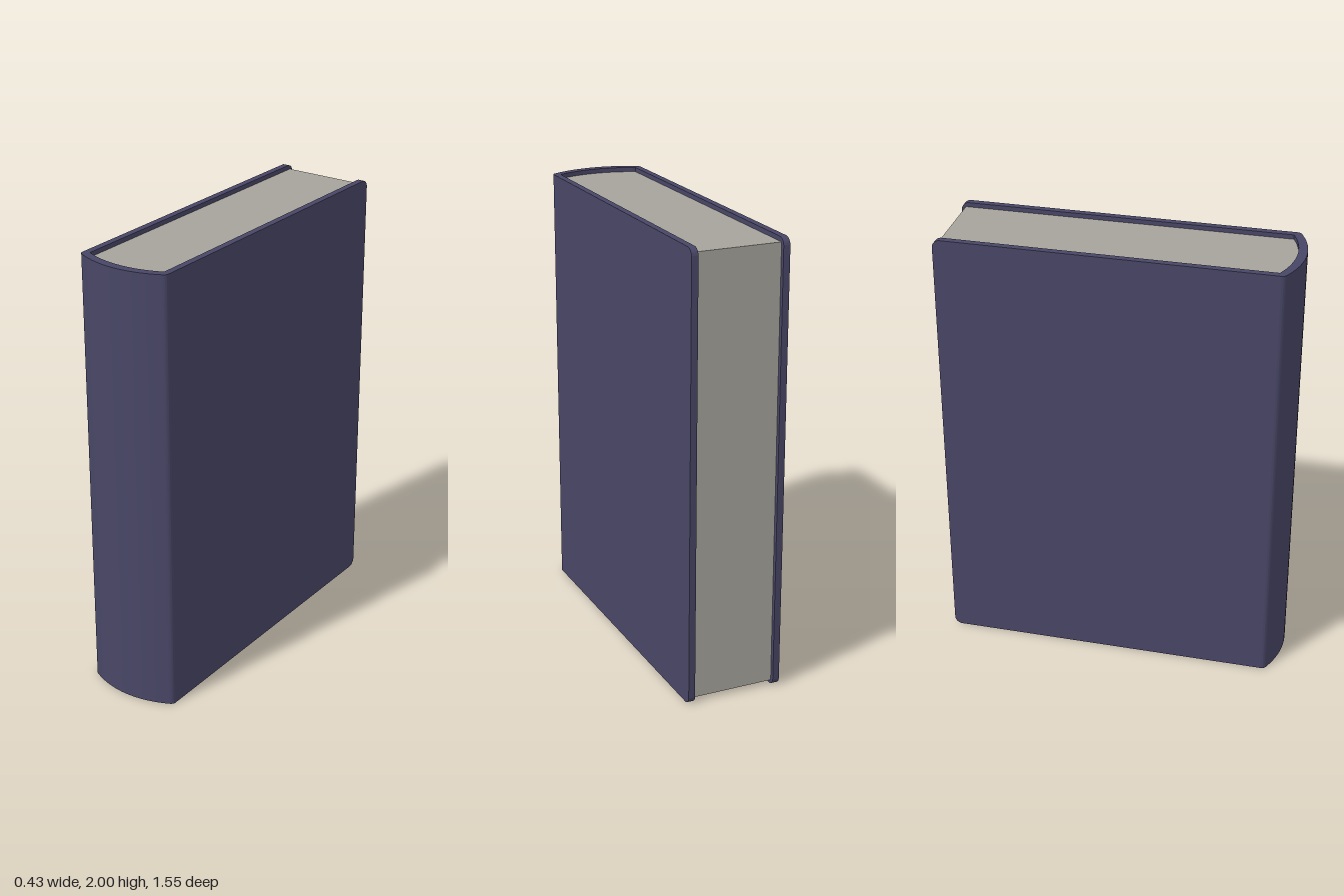
import * as THREE from 'three';
import { toCreasedNormals } from 'three/addons/utils/BufferGeometryUtils.js';

const HEIGHT = 2, OUT = 0.217, IN = 0.187, BACK = -0.776, JOIN = 0.69;

// Extrude an (x, z) outline upward from y = bottom to y = top
function extrudeUp(shape, bottom, top) {
  const g = new THREE.ExtrudeGeometry(shape, { depth: top - bottom, bevelEnabled: false, curveSegments: 16 });
  g.rotateX(Math.PI / 2).translate(0, top, 0);
  return toCreasedNormals(g, 0.6);
}

export function createModel() {
  const group = new THREE.Group();
  const cover = new THREE.MeshStandardMaterial({ color: 0x484666 });
  cover.name = 'indigoCover';
  const paper = new THREE.MeshStandardMaterial({ color: 0xa6a39b });
  paper.name = 'greyPaper';

  const add = (name, geometry, material) => {
    const mesh = new THREE.Mesh(geometry, material);
    mesh.name = name;
    group.add(mesh);
    return mesh;
  };

  // Cover boards, with rounded corners at the fore edge
  const r = 0.035, edge = -BACK;
  const board = new THREE.Shape();
  board.moveTo(-JOIN, 0);
  board.lineTo(edge - r, 0);
  board.absarc(edge - r, r, r, -Math.PI / 2, 0, false);
  board.absarc(edge - r, HEIGHT - r, r, 0, Math.PI / 2, false);
  board.lineTo(-JOIN, HEIGHT);
  const boardGeo = toCreasedNormals(
    new THREE.ExtrudeGeometry(board, { depth: OUT - IN, bevelEnabled: false, curveSegments: 8 }).rotateY(Math.PI / 2), 0.6);
  add('leftBoard', boardGeo, cover).position.x = IN;
  add('rightBoard', boardGeo, cover).position.x = -OUT;

  // Bowed spine joining the boards
  const spine = new THREE.Shape();
  spine.moveTo(-IN, JOIN);
  spine.bezierCurveTo(-0.07, 0.747, 0.07, 0.747, IN, JOIN);
  spine.lineTo(OUT, JOIN);
  spine.lineTo(OUT, 0.7);
  spine.quadraticCurveTo(OUT, 0.716, 0.198, 0.724);
  spine.bezierCurveTo(0.07, 0.788, -0.07, 0.788, -0.198, 0.724);
  spine.quadraticCurveTo(-OUT, 0.716, -OUT, 0.7);
  spine.lineTo(-OUT, JOIN);
  add('spine', extrudeUp(spine, 0, HEIGHT), cover);

  // Page block, set in from the cover edges and bowed to meet the spine
  const pages = new THREE.Shape();
  pages.moveTo(-IN, -0.757);
  pages.lineTo(IN, -0.757);
  pages.lineTo(IN, JOIN);
  pages.bezierCurveTo(0.07, 0.747, -0.07, 0.747, -IN, JOIN);
  add('pages', extrudeUp(pages, 0.02, HEIGHT - 0.02), paper);

  return group;
}
